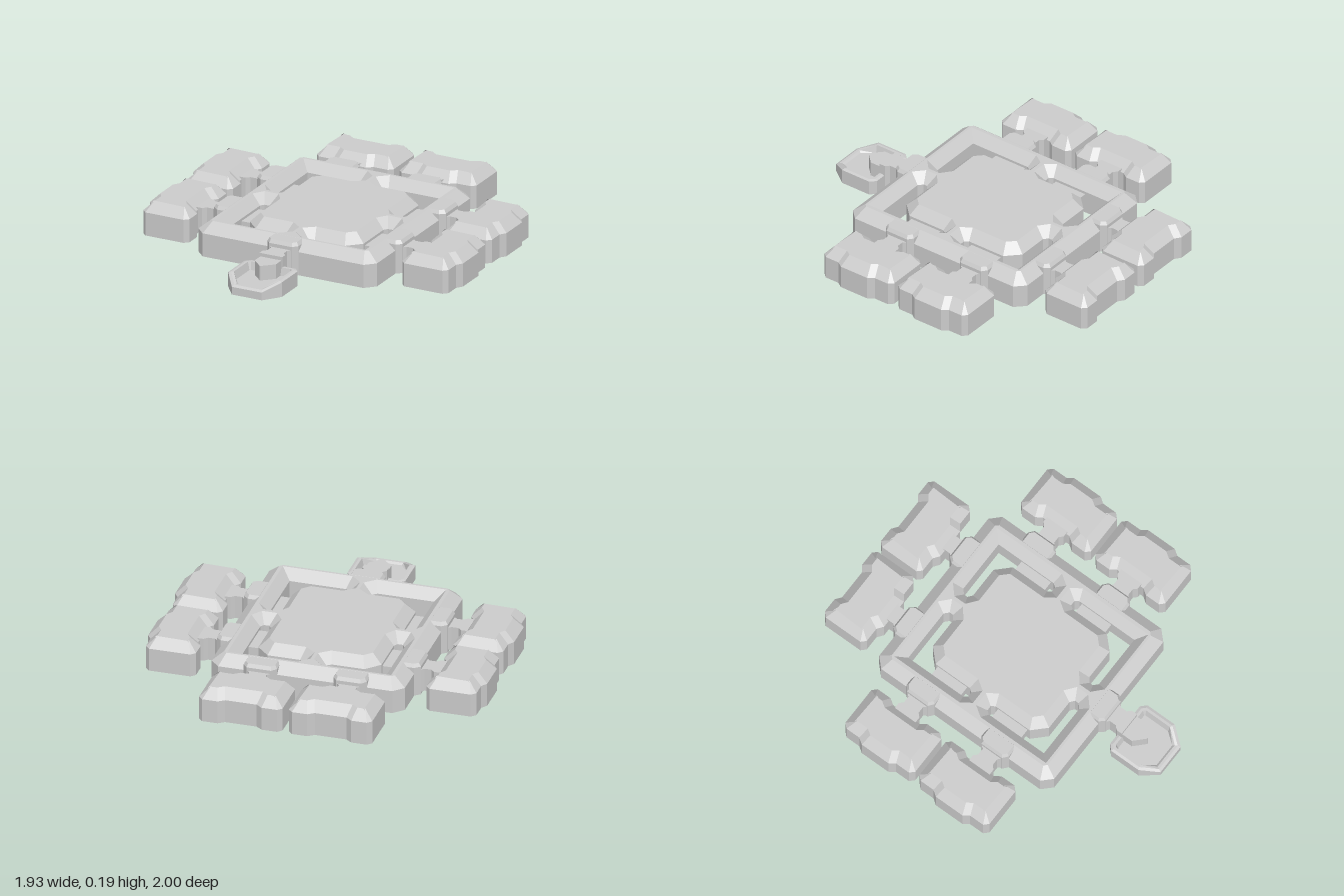
import * as THREE from 'three';

const material = new THREE.MeshStandardMaterial({ color: 0xcccccc, flatShading: true });
const V2 = (p) => new THREE.Vector2(p[0], p[1]);

// Orders an outline in the x/z plane (holes run the other way round).
function orient(points, hole = false) {
  const loop = points.map(V2);
  if (THREE.ShapeUtils.isClockWise(loop) !== hole) loop.reverse();
  return loop;
}

// Moves every edge of a loop towards the solid by d, with mitred corners.
function inset(loop, d) {
  const n = loop.length;
  return loop.map((p, i) => {
    const a = p.clone().sub(loop[(i + n - 1) % n]).normalize();
    const b = loop[(i + 1) % n].clone().sub(p).normalize();
    const k = d / (1 + a.dot(b));
    return V2([p.x - (a.y + b.y) * k, p.y + (a.x + b.x) * k]);
  });
}

const at = (loop, y) => loop.map((p) => new THREE.Vector3(p.x, typeof y === 'function' ? y(p) : y, p.y));

// Solid from stacks of matching loops: first stack is the outside, others are holes.
function solid(name, stacks) {
  const pos = [];
  const tri = (...v) => v.forEach((p) => pos.push(p.x, p.y, p.z));
  for (const stack of stacks) {
    for (let s = 0; s + 1 < stack.length; s++) {
      const lo = stack[s], hi = stack[s + 1];
      lo.forEach((p, i) => {
        const j = (i + 1) % lo.length;
        tri(p, hi[i], hi[j]);
        tri(p, hi[j], lo[j]);
      });
    }
  }
  for (const top of [false, true]) {
    const loops = stacks.map((s) => s[top ? s.length - 1 : 0]);
    const flat = loops.map((l) => l.map((p) => new THREE.Vector2(p.x, p.z)));
    const all = loops.flat();
    for (const [a, b, c] of THREE.ShapeUtils.triangulateShape(flat[0], flat.slice(1))) {
      if (top) tri(all[a], all[c], all[b]);
      else tri(all[a], all[b], all[c]);
    }
  }
  const geometry = new THREE.BufferGeometry();
  geometry.setAttribute('position', new THREE.Float32BufferAttribute(pos, 3));
  geometry.computeVertexNormals();
  const mesh = new THREE.Mesh(geometry, material);
  mesh.name = name;
  return mesh;
}

const SHOULDER = 0.135, TOP = 0.19;
const bevelled = (loop, d) => [at(loop, 0), at(loop, SHOULDER), at(inset(loop, d), TOP)];
const prism = (name, points, y0, y1) => {
  const loop = orient(points);
  return solid(name, [[at(loop, y0), at(loop, y1)]]);
};
// Completes a half outline by mirroring it across x = 0.
const mirrored = (half) => [...half, ...half.map(([x, z]) => [-x, z]).reverse()];

// Shell: chamfered square with four L-shaped slots around a raised centre.
function shell() {
  const group = new THREE.Group();
  group.name = 'shell';
  const outer = orient(mirrored([[0.495, -0.595], [0.55, -0.54], [0.55, 0.54], [0.495, 0.595]]));
  const slot = [
    [0.41, 0.461], [0.09, 0.461], [0.065, 0.438], [0.065, 0.415], [0.09, 0.395], [0.275, 0.395],
    [0.35, 0.32], [0.35, 0.088], [0.365, 0.066], [0.395, 0.066], [0.41, 0.088],
  ];
  const stacks = [bevelled(outer, 0.065)];
  for (const sx of [-1, 1]) {
    for (const sz of [-1, 1]) {
      stacks.push(bevelled(orient(slot.map(([x, z]) => [x * sx, z * sz]), true), 0.055));
      // Web bridging the side arm of the slot
      const web = new THREE.Mesh(new THREE.BoxGeometry(0.08, 0.07, 0.2), material);
      web.name = 'slotWeb';
      web.position.set(0.38 * sx, 0.085, 0.205 * sz);
      group.add(web);
    }
  }
  group.add(solid('shellPlate', stacks));
  group.position.z = -0.015;
  return group;
}

// Hinge joint, local +z pointing away from the shell.
function joint() {
  const group = new THREE.Group();
  group.name = 'joint';
  const block = orient(mirrored([[0.095, -0.075], [0.095, 0], [0.07, 0.03]]));
  group.add(solid('jointBlock', [[at(block, 0), at(block, 0.17), at(inset(block, 0.012), TOP)]]));
  const neck = mirrored([[0.075, 0.02], [0.05, 0.045], [0.05, 0.085], [0.07, 0.105], [0.07, 0.14]]);
  group.add(prism('jointNeck', neck, 0.015, 0.15));
  return group;
}

// Outer pad whose middle third is stepped sideways by shift.
function pad(shift) {
  const h = 0.1425, c = 0.025, end = 0.2375;
  const loop = orient(mirrored([
    [0.09, -h + shift], [0.125, -h], [end - c, -h], [end, -h + c],
    [end, h - c], [end - c, h], [0.125, h], [0.09, h + shift],
  ]));
  const mesh = solid('pad', [bevelled(loop, 0.055)]);
  mesh.position.z = 0.105 + h;
  return mesh;
}

// Front tray: side rims falling to a low front lip, with a pointed post inside.
function tray() {
  const group = new THREE.Group();
  group.name = 'frontTray';
  const loop = orient(mirrored([
    [0.135, 0.11], [0.165, 0.14], [0.165, 0.325], [0.092, 0.42],
  ]));
  const rim = (p) => (p.y > 0.34 ? 0.055 : 0.09);
  group.add(solid('trayShell', [[
    at(loop, 0),
    at(loop, (p) => (p.y > 0.34 ? 0.045 : 0.085)),
    at(inset(loop, 0.015), rim),
    at(inset(loop, 0.03), rim),
    at(inset(loop, 0.042), 0.045),
  ]]));
  group.add(prism('trayPost', mirrored([[0.065, 0.1], [0.065, 0.205], [0.003, 0.265]]), 0.03, 0.13));
  return group;
}

export function createModel() {
  const model = new THREE.Group();
  model.name = 'slottedShellWithPads';
  model.add(shell());

  // Each limb: name, x, z, turn about y, end part
  const limbs = [['front', 0, 0.58, 0, tray()]];
  for (const s of [-1, 1]) {
    limbs.push(['back', 0.255 * s, -0.61, Math.PI, pad(-0.026)]);
    limbs.push(['sideRear', 0.55 * s, -0.287, (s * Math.PI) / 2, pad(0.024)]);
    limbs.push(['sideFront', 0.55 * s, 0.217, (s * Math.PI) / 2, pad(0.024)]);
  }
  for (const [name, x, z, turn, part] of limbs) {
    const limb = new THREE.Group();
    limb.name = name + 'Limb';
    limb.add(joint(), part);
    limb.position.set(x, 0, z);
    limb.rotation.y = turn;
    model.add(limb);
  }
  return model;
}
